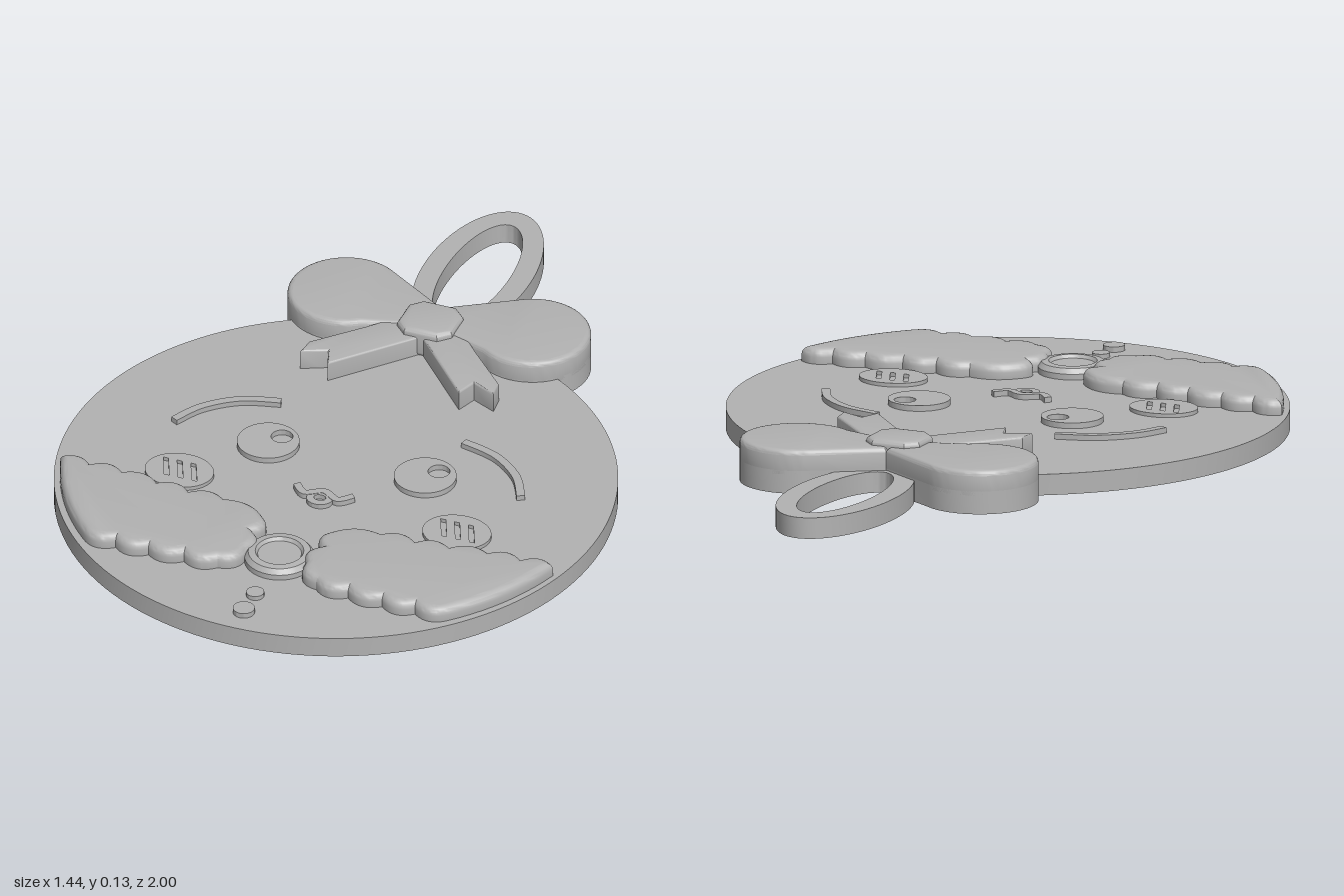
import * as THREE from 'three';
import { toCreasedNormals } from 'three/addons/utils/BufferGeometryUtils.js';

const grey = new THREE.MeshStandardMaterial({ color: 0xb2b2b2 });
grey.name = 'plain grey';
const TOP = 0.055; // upper face of the disc

export function createModel() {
  const model = new THREE.Group();
  model.name = 'ornament';

  const add = (name, geometry) => {
    const mesh = new THREE.Mesh(toCreasedNormals(geometry, 0.5), grey);
    mesh.name = name;
    model.add(mesh);
    return mesh;
  };

  // Plan shapes are drawn in (x, -z) and raised from y0 to y1
  const slab = (name, shape, y0, y1, bevel = 0) => {
    const g = new THREE.ExtrudeGeometry(shape, {
      depth: y1 - y0 - 2 * bevel, curveSegments: 40, bevelEnabled: bevel > 0,
      bevelSize: bevel, bevelThickness: bevel, bevelOffset: -bevel, bevelSegments: 4,
    });
    g.rotateX(-Math.PI / 2).translate(0, y0 + bevel, 0);
    return add(name, g);
  };
  const oval = (x, z, rx, rz, Type = THREE.Shape) =>
    new Type().absellipse(x, -z, rx, rz, 0, Math.PI * 2);
  const polygon = (points, Type = THREE.Shape) =>
    new Type(points.map(([x, z]) => new THREE.Vector2(x, -z)));

  // Thin band of constant width following a smooth curve
  const ribbon = (points, width) => {
    const curve = new THREE.SplineCurve(points.map(([x, z]) => new THREE.Vector2(x, -z)));
    const a = [], b = [];
    for (let i = 0; i <= 28; i++) {
      const p = curve.getPoint(i / 28), t = curve.getTangent(i / 28);
      const n = new THREE.Vector2(-t.y, t.x).multiplyScalar(width / 2);
      a.push(p.clone().add(n));
      b.unshift(p.clone().sub(n));
    }
    return new THREE.Shape([...a, ...b]);
  };

  // Disc and hanging loop
  const disc = new THREE.CylinderGeometry(0.72, 0.72, TOP, 128);
  add('disc', disc.translate(0, TOP / 2, 0.28));
  const loop = oval(0, -0.71, 0.142, 0.29);
  loop.holes.push(oval(0, -0.71, 0.085, 0.23, THREE.Path));
  slab('hangingLoop', loop, 0, TOP);

  // Scalloped collar edge, from the outer top corner round to the outer bottom one
  const scallops = [[0.675, 0.485], [0.59, 0.49], [0.5, 0.492], [0.4, 0.505], [0.31, 0.513],
    [0.215, 0.512], [0.093, 0.55], [0.095, 0.62], [0.08, 0.7], [0.135, 0.765],
    [0.225, 0.77], [0.32, 0.775], [0.41, 0.775], [0.5, 0.77]];

  for (const s of [-1, 1]) {
    const side = s > 0 ? 'left' : 'right';
    const flip = (points) => points.map(([x, z]) => [s * x, z]);

    // Bow lobe: round end narrowing to the knot
    const lobe = [[0, -0.46]];
    for (let i = 0; i <= 40; i++) {
      const t = THREE.MathUtils.lerp(-2.2, 2.2, i / 40);
      lobe.push([0.255 + 0.15 * Math.cos(t), -0.443 + 0.15 * Math.sin(t)]);
    }
    lobe.push([0, -0.37]);
    slab(side + 'BowLobeBase', polygon(flip(lobe)), 0, 0.06);
    slab(side + 'BowLobe', polygon(flip(lobe)), 0.035, 0.114, 0.014);

    // Ribbon tail with a notched end
    const tail = [[0, -0.4], [0, -0.32], [0.18, -0.12], [0.2, -0.175],
      [0.265, -0.145], [0.26, -0.195], [0.15, -0.31], [0.07, -0.4]];
    slab(side + 'BowTail', polygon(flip(tail)), 0.03, 0.11, 0.006);

    // Eye with a round highlight cut through it
    const eye = oval(s * 0.215, 0.205, 0.08, 0.08);
    eye.holes.push(oval(s * 0.215 + 0.026, 0.175, 0.028, 0.028, THREE.Path));
    slab(side + 'Eye', eye, 0.05, 0.07);

    // Eyebrow
    const brow = [[0.25, 0.025], [0.35, 0.055], [0.43, 0.12], [0.475, 0.2]];
    slab(side + 'Eyebrow', ribbon(flip(brow), 0.022), 0.05, 0.069);

    // Cheek with three slanted slits
    const cheek = oval(s * 0.38, 0.405, 0.09, 0.075);
    for (const k of [-1, 0, 1]) {
      const x = s * 0.38 + k * 0.038, z = 0.4;
      cheek.holes.push(polygon([[x - 0.022, z - 0.035], [x - 0.008, z - 0.035],
        [x + 0.022, z + 0.035], [x + 0.008, z + 0.035]], THREE.Path));
    }
    slab(side + 'Cheek', cheek, 0.05, 0.065);

    // Collar half with rounded scallops
    const collar = new THREE.Shape().moveTo(s * scallops[0][0], -scallops[0][1]);
    for (let i = 1; i < scallops.length; i++) {
      const [x0, z0] = scallops[i - 1], [x1, z1] = scallops[i];
      const dx = x1 - x0, dz = z1 - z0, bulge = 0.04 / Math.hypot(dx, dz);
      collar.quadraticCurveTo(s * ((x0 + x1) / 2 - dz * bulge), -((z0 + z1) / 2 + dx * bulge),
        s * x1, -z1);
    }
    collar.quadraticCurveTo(s * 0.62, -0.652, s * 0.675, -0.485);
    const g = new THREE.ExtrudeGeometry(collar, {
      depth: 0.02, curveSegments: 10, bevelSize: 0.02, bevelThickness: 0.022,
      bevelOffset: -0.02, bevelSegments: 4,
    });
    add(side + 'Collar', g.rotateX(-Math.PI / 2).translate(0, 0.053, 0));
  }

  // Bow knot
  const knot = [[-0.045, -0.45], [0.045, -0.45], [0.075, -0.42], [0.075, -0.34],
    [0.045, -0.31], [-0.045, -0.31], [-0.075, -0.34], [-0.075, -0.42]];
  slab('bowKnot', polygon(knot), 0.05, 0.13, 0.014);

  // Mouth and small ring beneath it
  slab('mouth', ribbon([[-0.078, 0.355], [-0.045, 0.385], [0, 0.362],
    [0.045, 0.385], [0.078, 0.355]], 0.02), 0.05, 0.069);
  const lip = oval(0, 0.395, 0.034, 0.03);
  lip.holes.push(oval(0, 0.393, 0.016, 0.012, THREE.Path));
  slab('lowerLip', lip, 0.05, 0.068);

  // Large collar button with a raised rim
  const rim = [[0.09, 0.03], [0.09, 0.07], [0.08, 0.083], [0.062, 0.085], [0.056, 0.076], [0, 0.076]];
  const button = new THREE.LatheGeometry(rim.map(([r, y]) => new THREE.Vector2(r, y)), 48);
  add('collarButton', button.translate(0, 0, 0.675));

  // Small buttons
  slab('upperButton', oval(0, 0.845, 0.023, 0.023), 0.05, 0.067);
  slab('lowerButton', oval(0, 0.925, 0.028, 0.028), 0.05, 0.069);

  return model;
}
